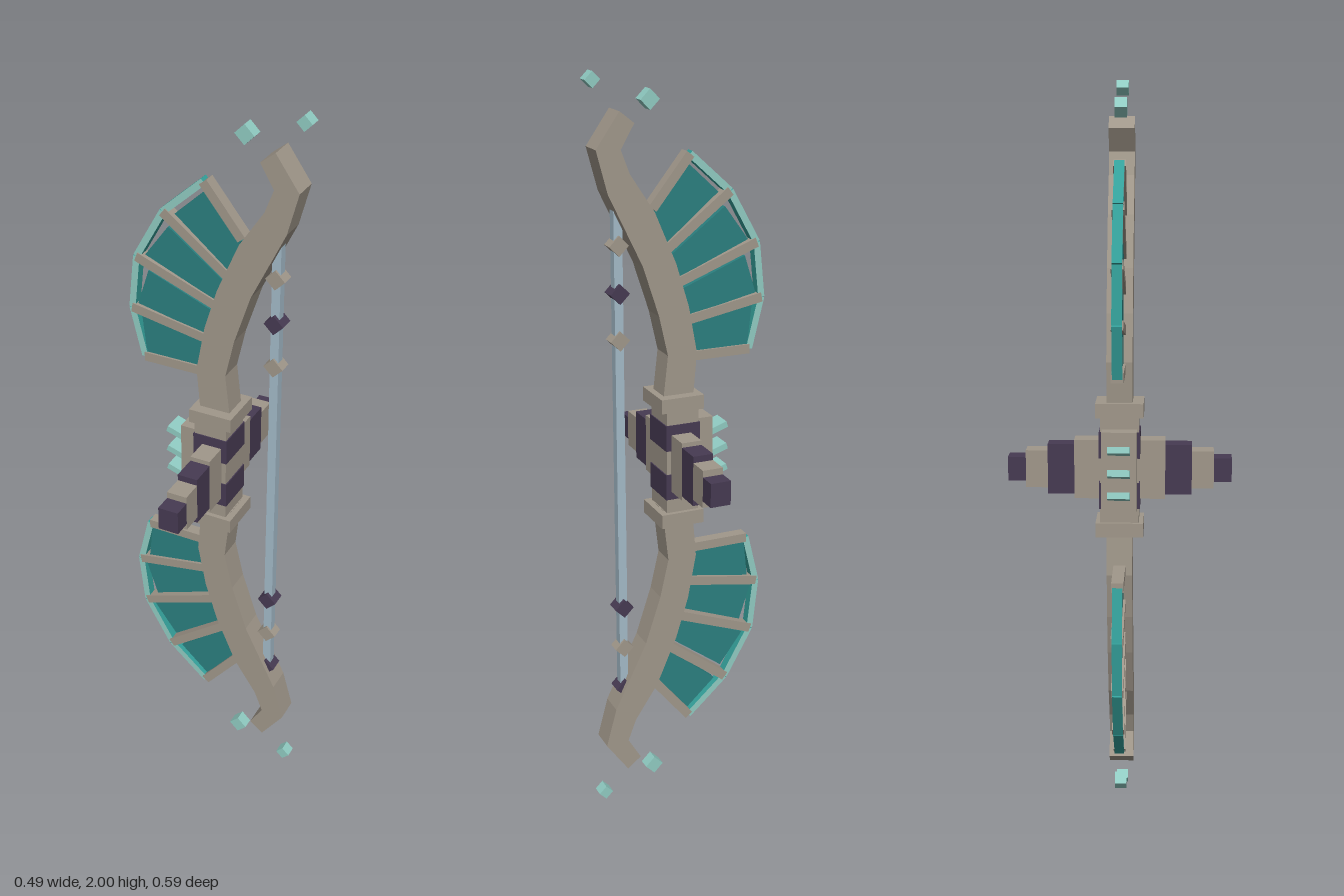
import * as THREE from 'three';

const mat = (name, color) => {
  const m = new THREE.MeshStandardMaterial({ color });
  m.name = name;
  return m;
};

export function createModel() {
  const bow = new THREE.Group();
  bow.name = 'bow';
  const stone = mat('stone', 0xa0978a);
  const purple = mat('dark purple', 0x463a52);
  const teal = mat('deep teal', 0x2b7f7f);
  const brightTeal = mat('bright teal', 0x34a09a);
  const pale = mat('pale teal', 0x90cbc2);
  const cord = mat('cord blue', 0xa3bac8);

  const add = (name, geometry, material, parent = bow) => {
    const mesh = new THREE.Mesh(geometry, material);
    mesh.name = name;
    parent.add(mesh);
    return mesh;
  };

  // Box given by its extents in x, y and z
  const block = (name, material, x0, x1, y0, y1, z0, z1) => {
    const mesh = add(name, new THREE.BoxGeometry(x1 - x0, y1 - y0, z1 - z0), material);
    mesh.position.set((x0 + x1) / 2, (y0 + y1) / 2, (z0 + z1) / 2);
    return mesh;
  };

  // Flat outline extruded evenly about z = 0; side -1 mirrors it below the grip
  const plate = (name, material, points, halfDepth, side, parent) => {
    const shape = new THREE.Shape(points.map(([x, y]) => new THREE.Vector2(x, 1 + side * y)));
    const geometry = new THREE.ExtrudeGeometry(shape, { depth: halfDepth * 2, bevelEnabled: false });
    geometry.translate(0, 0, -halfDepth);
    return add(name, geometry, material, parent);
  };

  // Straight bar between two points, as an outline
  const barOutline = ([ax, ay], [bx, by], width) => {
    const len = Math.hypot(bx - ax, by - ay);
    const nx = (-(by - ay) / len) * width / 2, ny = ((bx - ax) / len) * width / 2;
    return [[ax + nx, ay + ny], [bx + nx, by + ny], [bx - nx, by - ny], [ax - nx, ay - ny]];
  };

  const diamond = (name, material, x, y, size, depth) => {
    const mesh = add(name, new THREE.BoxGeometry(size, size, depth), material);
    mesh.position.set(x, y, 0);
    mesh.rotation.z = Math.PI / 4;
  };

  // Outlines measured upward from the middle of the grip
  const limb = [
    [0.05, 0.14], [0.048, 0.18], [0.036, 0.286], [0.06, 0.392], [0.103, 0.524],
    [0.193, 0.71], [0.222, 0.818], [0.16, 0.906], [0.122, 0.876], [0.158, 0.815],
    [0.135, 0.755], [0.07, 0.657], [0.013, 0.524], [-0.022, 0.41], [-0.045, 0.286],
    [-0.036, 0.18], [-0.036, 0.14],
  ];
  const ribs = [
    [[-0.205, 0.271], [-0.03, 0.271]],
    [[-0.238, 0.407], [-0.02, 0.367]],
    [[-0.222, 0.553], [0, 0.468]],
    [[-0.145, 0.69], [0.03, 0.556]],
    [[-0.034, 0.79], [0.068, 0.662]],
  ];
  const panels = [
    [[-0.2, 0.278], [-0.212, 0.388], [-0.025, 0.354], [-0.03, 0.278]],
    [[-0.222, 0.42], [-0.19, 0.52], [-0.005, 0.447], [-0.022, 0.377]],
    [[-0.198, 0.562], [-0.132, 0.652], [0.028, 0.532], [-0.005, 0.482]],
    [[-0.113, 0.69], [-0.032, 0.765], [0.065, 0.655], [0.03, 0.572]],
  ];

  for (const side of [1, -1]) {
    const half = new THREE.Group();
    half.name = side > 0 ? 'upperLimb' : 'lowerLimb';
    bow.add(half);
    plate('limb', stone, limb, 0.034, side, half);

    // Fan of ribs, panels and rim strips
    ribs.forEach(([outer, inner]) => plate('fanRib', stone, barOutline(outer, inner, 0.025), 0.016, side, half));
    panels.forEach((p) => plate('fanPanel', teal, p, 0.01, side, half));
    for (let i = 0; i < ribs.length - 1; i++) {
      plate('fanRim', [pale, brightTeal], barOutline(ribs[i][0], ribs[i + 1][0], 0.018), 0.013, side, half);
    }

    // Collar and dark band on the grip
    const c = 1 + side * 0.16, b = 1 + side * 0.068;
    block('collar', stone, -0.053, 0.066, c - 0.019, c + 0.019, -0.063, 0.063);
    block('gripBand', purple, -0.046, 0.05, b - 0.035, b + 0.035, -0.054, 0.054);

    // Floating shards beyond the tip
    diamond('shard', pale, 0.073, 1 + side * 0.927, 0.036, 0.032);
    diamond('shard', pale, 0.22, 1 + side * 0.98, 0.028, 0.032);

    // Stepped crossbar, front and back
    const steps = [[0.05, 0.12, 0.079, stone], [0.12, 0.19, 0.067, purple],
      [0.19, 0.248, 0.05, stone], [0.248, 0.295, 0.032, purple]];
    for (const [z0, z1, h, m] of steps) {
      const [a, d] = side > 0 ? [z0, z1] : [-z1, -z0];
      block('crossbarStep', m, -0.02, 0.035, 0.998 - h, 0.998 + h, a, d);
    }
  }

  // Grip core and side plate
  block('gripCore', stone, -0.043, 0.047, 0.84, 1.16, -0.051, 0.051);
  block('sidePlate', stone, -0.086, -0.02, 0.894, 1.11, -0.046, 0.046);

  // Slanted fins on the side plate
  for (const y of [1.065, 1.004, 0.945]) {
    const fin = add('fin', new THREE.BoxGeometry(0.065, 0.017, 0.058), pale);
    fin.position.set(-0.106, y, 0);
    fin.rotation.z = -0.32;
  }

  // String with beads
  block('string', cord, 0.148, 0.171, 0.305, 1.7, -0.012, 0.012);
  for (const y of [1.694, 1.456, 0.586, 0.343]) diamond('darkBead', purple, 0.159, y, 0.037, 0.042);
  for (const y of [1.577, 1.334, 0.465]) diamond('stoneBead', stone, 0.159, y, 0.037, 0.036);

  return bow;
}
